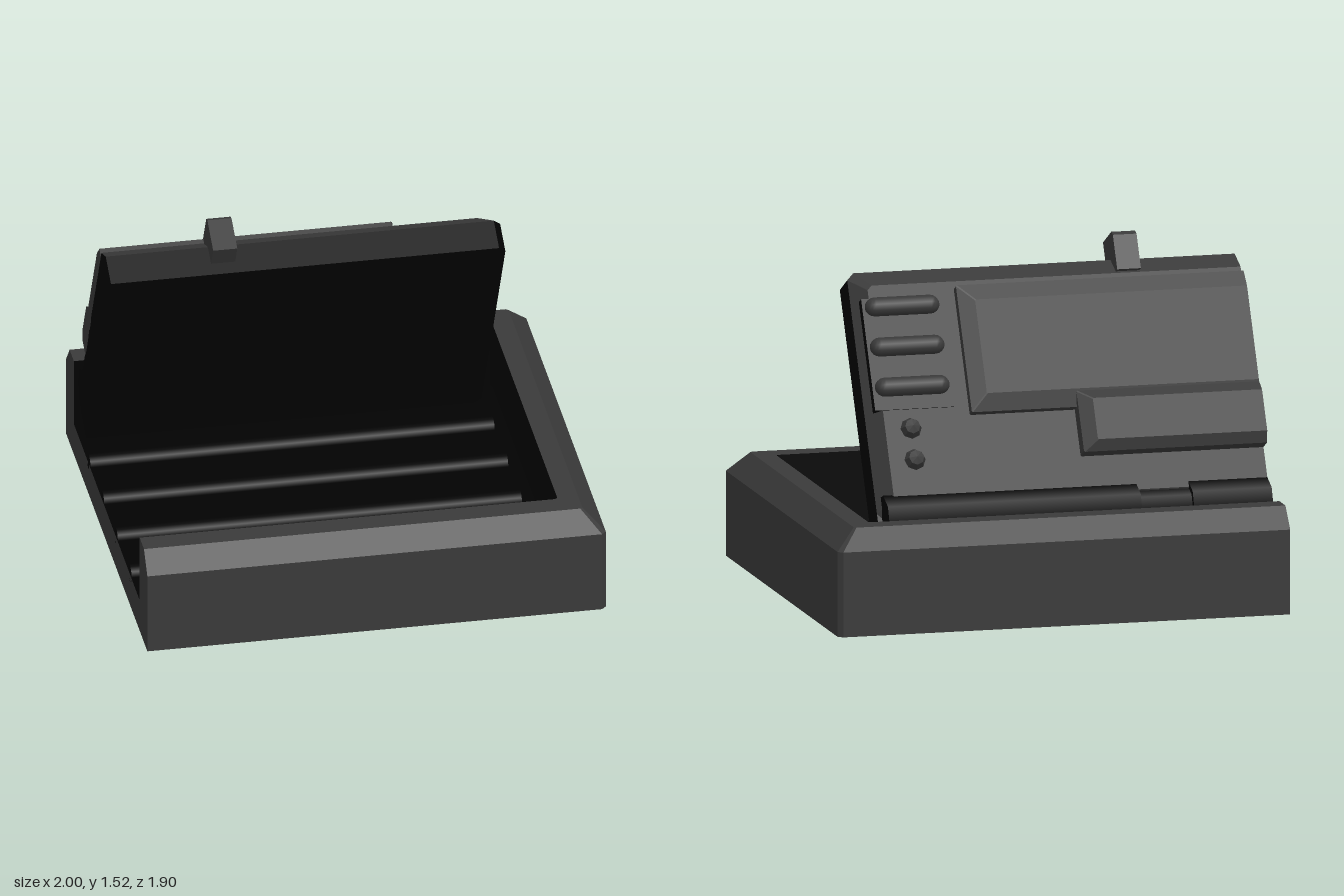
import * as THREE from 'three';

const grey = new THREE.MeshStandardMaterial({ color: 0x3a3a3a });
grey.name = 'shell grey';
const black = new THREE.MeshStandardMaterial({ color: 0x020202 });
black.name = 'panel black';

const END = -1; // the cut, open side of the case

// U-shaped path at height y: along the front, around the +x side, along the back
function ring(x1, z0, z1, c, y) {
  return [[END, y, z1], [x1 - c, y, z1], [x1, y, z1 - c], [x1, y, z0 + c], [x1 - c, y, z0], [END, y, z0]];
}

function faceted(tris) {
  const g = new THREE.BufferGeometry();
  g.setAttribute('position', new THREE.Float32BufferAttribute(tris.flat(), 3));
  g.computeVertexNormals();
  return g;
}

// Faces between successive rings
function walls(rings) {
  const t = [];
  for (let k = 0; k + 1 < rings.length; k++) {
    const a = rings[k], b = rings[k + 1];
    for (let i = 0; i + 1 < a.length; i++) {
      t.push(a[i], a[i + 1], b[i + 1], a[i], b[i + 1], b[i]);
    }
  }
  return faceted(t);
}

// Flat face filling one outline
function cap(r, down = false) {
  const t = [];
  for (let i = 1; i + 1 < r.length; i++) {
    if (down) t.push(r[0], r[i + 1], r[i]);
    else t.push(r[0], r[i], r[i + 1]);
  }
  return faceted(t);
}

// Face closing the cut side, outlined by the ring ends
function endFace(rings) {
  const last = (r) => r[r.length - 1];
  const outline = [...rings.map((r) => r[0]), ...rings.map(last).reverse()];
  const shape = new THREE.Shape(outline.map((p) => new THREE.Vector2(p[2], p[1])));
  return new THREE.ShapeGeometry(shape).rotateY(-Math.PI / 2).translate(END, 0, 0);
}

function add(group, name, geometry, material, x = 0, y = 0, z = 0) {
  const m = new THREE.Mesh(geometry, material);
  m.name = name;
  m.position.set(x, y, z);
  group.add(m);
}

function rod(group, name, x0, x1, y, z, r, sides) {
  const g = new THREE.CylinderGeometry(r, r, x1 - x0, sides).rotateZ(Math.PI / 2);
  add(group, name, g, black, (x0 + x1) / 2, y, z);
}

// Raised block with grey bevelled edges and a flush black face
function bevelledPane(group, name, x1, z0, z1, yWall, yTop, insetX, insetZ) {
  const rings = [
    ring(x1, z0, z1, 0.005, 0.2),
    ring(x1, z0, z1, 0.005, yWall),
    ring(x1 - insetX, z0 + insetZ, z1 - insetZ, 0.005, yTop),
  ];
  add(group, name + 'Frame', walls(rings), grey);
  add(group, name + 'End', endFace(rings), grey);
  add(group, name + 'Pane', cap(rings[2]), black);
}

function makeBase() {
  const base = new THREE.Group();
  base.name = 'base';
  const rings = [
    ring(1, -0.95, 0.95, 0.02, 0),
    ring(1, -0.95, 0.95, 0.02, 0.37),
    ring(0.91, -0.87, 0.87, 0.01, 0.46),
    ring(0.82, -0.77, 0.77, 0.01, 0.46),
    ring(0.82, -0.77, 0.77, 0.01, 0.15),
  ];
  add(base, 'outerWalls', walls(rings.slice(0, 4)), grey);
  add(base, 'innerWalls', walls(rings.slice(3)), black);
  add(base, 'floor', cap(rings[4]), black);
  add(base, 'cutEnd', endFace(rings), grey);

  // Underside: black front half, grey back half
  const middle = [[1, 0, 0.04], [END, 0, 0.04]];
  add(base, 'undersideFront', cap([...rings[0].slice(0, 3), ...middle], true), black);
  add(base, 'undersideBack', cap([middle[1], middle[0], ...rings[0].slice(3)], true), grey);

  // Ribs along the floor
  for (let i = 0; i < 4; i++) rod(base, 'floorRib', END, 0.76, 0.155, 0.54 - 0.32 * i, 0.04, 10);

  // Hinge barrels with a thinner pin between them
  rod(base, 'hingeBarrel', END, -0.65, 0.415, -0.56, 0.115, 8);
  rod(base, 'hingeBarrel', -0.42, 0.7, 0.415, -0.56, 0.115, 8);
  rod(base, 'hingePin', -0.65, -0.42, 0.415, -0.56, 0.09, 8);
  return base;
}

// Lid axes: x across, y out of the detailed back face, z up the slope
function makeLid() {
  const lid = new THREE.Group();
  lid.name = 'lid';
  const rings = [
    ring(0.72, 0, 1.24, 0.03, 0),
    ring(0.72, 0, 1.24, 0.03, 0.14),
    ring(0.72, 0.13, 1.24, 0.03, 0.14),
    ring(0.655, 0.19, 1.16, 0.02, 0.21),
  ];
  add(lid, 'lidSides', walls(rings.slice(0, 3)), black);
  add(lid, 'lidBevel', walls(rings.slice(2)), grey);
  add(lid, 'lidFront', cap(rings[0], true), black);
  add(lid, 'lidBack', cap(rings[3]), black);
  add(lid, 'lidEnd', endFace(rings), black);

  bevelledPane(lid, 'screen', 0.275, 0.56, 1.13, 0.25, 0.275, 0.07, 0.075);
  bevelledPane(lid, 'lowerPanel', -0.19, 0.35, 0.625, 0.275, 0.305, 0.06, 0.045);

  // Bar panel and its three rounded bars
  add(lid, 'barPanel', new THREE.BoxGeometry(0.35, 0.085, 0.5), black, 0.515, 0.1725, 0.85);
  for (const s of [1.06, 0.88, 0.7]) {
    const bar = new THREE.CapsuleGeometry(0.042, 0.245, 4, 10).rotateZ(Math.PI / 2);
    add(lid, 'bar', bar, grey, 0.515, 0.22, s);
  }

  // Two faceted buttons
  for (const s of [0.51, 0.37]) {
    const knob = new THREE.SphereGeometry(0.047, 8, 4).toNonIndexed();
    knob.computeVertexNormals();
    add(lid, 'button', knob, grey, 0.545, 0.225, s);
  }

  // Latch hooked over the top edge
  const hook = new THREE.Shape([
    [0.055, 1.17], [0.23, 1.17], [0.23, 1.325], [0.21, 1.345], [0.055, 1.345],
  ].map(([t, s]) => new THREE.Vector2(s, t)));
  const latch = new THREE.ExtrudeGeometry(hook, { depth: 0.105, bevelEnabled: false });
  latch.rotateY(-Math.PI / 2);
  add(lid, 'latch', latch, grey, -0.45, 0, 0);

  lid.rotation.x = 0.49 - Math.PI / 2;
  lid.position.set(0, 0.238, -0.485);
  return lid;
}

export function createModel() {
  const model = new THREE.Group();
  model.name = 'openCase';
  model.add(makeBase(), makeLid());
  return model;
}
